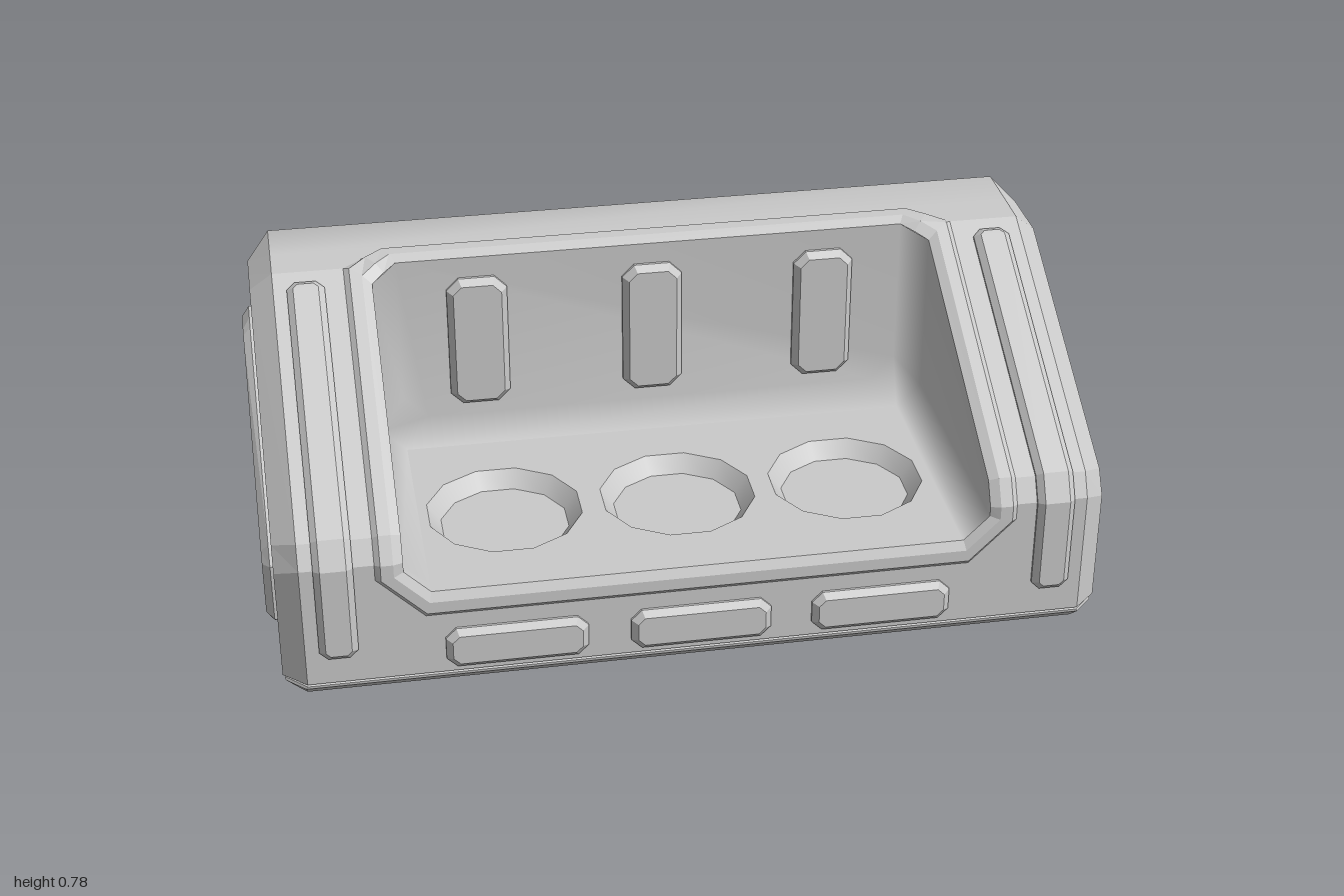
import * as THREE from 'three';
import { mergeGeometries } from 'three/addons/utils/BufferGeometryUtils.js';

// Joins equal-length loops (or open rows) of points with quads; optional cap on the last loop
function loft(rings, { closed = true, cap = false, smooth = false, skip = () => false } = {}) {
  const n = rings[0].length, index = [], kept = [];
  const add = (drop, ...t) => { index.push(...t); if (!drop) kept.push(...t); };
  for (let k = 0; k < rings.length - 1; k++) {
    for (let i = 0; i < (closed ? n : n - 1); i++) {
      const j = (i + 1) % n, a = k * n + i, b = k * n + j;
      add(skip(k, i), a, b, b + n, a, b + n, a + n);
    }
  }
  const last = (rings.length - 1) * n;
  if (cap) for (let i = 1; i < n - 1; i++) add(false, last, last + i, last + i + 1);
  const geo = new THREE.BufferGeometry();
  geo.setAttribute('position', new THREE.Float32BufferAttribute(rings.flat(2), 3));
  geo.setIndex(index);
  if (smooth) {
    geo.computeVertexNormals();
    geo.setIndex(kept);
    return geo;
  }
  const flat = geo.toNonIndexed();
  flat.computeVertexNormals();
  return flat;
}

// Front path as [z, y]: up the front, up the slope, back over the top
const PATH = [[0.47, 0.05], [0.47, 0.36], [0.44, 0.415], [-0.21, 0.768], [-0.31, 0.77]];
const LEN = [0];
for (let i = 1; i < PATH.length; i++) {
  LEN.push(LEN[i - 1] + Math.hypot(PATH[i][0] - PATH[i - 1][0], PATH[i][1] - PATH[i - 1][1]));
}
const [, B1, B2, B3, END] = LEN;
const BACK = -0.217; // cavity back wall

function segNormal(i) {
  const l = LEN[i + 1] - LEN[i];
  return [(PATH[i + 1][1] - PATH[i][1]) / l, -(PATH[i + 1][0] - PATH[i][0]) / l];
}

// Point at distance s along the front path, raised by h
function wrap(x, s, h = 0) {
  let i = 0;
  while (i < PATH.length - 2 && s > LEN[i + 1] + 1e-6) i++;
  const t = (s - LEN[i]) / (LEN[i + 1] - LEN[i]);
  let [nz, ny] = segNormal(i);
  if (t > 0.9999 && i < PATH.length - 2) {
    const m = segNormal(i + 1), l = Math.hypot(nz + m[0], ny + m[1]);
    nz = (nz + m[0]) / l;
    ny = (ny + m[1]) / l;
  }
  const z = PATH[i][0] + t * (PATH[i + 1][0] - PATH[i][0]);
  const y = PATH[i][1] + t * (PATH[i + 1][1] - PATH[i][1]);
  return [x, y + ny * h, z + nz * h];
}

function sAtZ(z) {
  const i = z > PATH[3][0] ? 2 : 3;
  return LEN[i] + (LEN[i + 1] - LEN[i]) * (z - PATH[i][0]) / (PATH[i + 1][0] - PATH[i][0]);
}

// Mirrors right-hand [x, s] points into a full loop
const mirrorLoop = half => [...half, ...half.map(([x, s]) => [-x, s]).reverse()];

// Raised plate with chamfered corners and bevelled edge, laid on a mapped surface
function plate(map, cx, hw, s0, s1, c, h, bends = []) {
  const rows = d => [[hw - c - d * 0.4, s0 + d], [hw - d, s0 + c + d * 0.4],
    ...bends.map(s => [hw - d, s]), [hw - d, s1 - c - d * 0.4], [hw - c - d * 0.4, s1 - d]];
  const ring = (d, k) => mirrorLoop(rows(d)).map(([x, s]) => map(cx + x, s, k));
  const face = rows(0.015).map(([x, s]) => [map(cx - x, s, h), map(cx + x, s, h)]);
  return mergeGeometries([
    loft([ring(0, 0), ring(0, h * 0.3), ring(0.015, h)]),
    loft(face, { closed: false }),
  ]);
}

export function createModel() {
  const group = new THREE.Group();
  const grey = new THREE.MeshStandardMaterial({ color: 0xcacaca, side: THREE.DoubleSide });
  grey.name = 'light grey shell';
  const add = (name, geo) => {
    const mesh = new THREE.Mesh(geo, grey);
    mesh.name = name;
    group.add(mesh);
    return mesh;
  };

  // Front shell around the opening, and the raised rim
  const edge = [[0.64, 0], [0.92, 0], [0.92, 0.27], [0.92, B1], [0.92, B2],
    [0.92, B3], [0.92, END], [0.66, END]];
  const topOut = sAtZ(-0.29), topIn = sAtZ(BACK), cornerIn = sAtZ(-0.165);
  const outer = [[0.64, 0.16], [0.695, 0.215], [0.75, 0.27], [0.75, B1], [0.75, B2],
    [0.75, B3], [0.705, (B3 + topOut) / 2], [0.66, topOut]];
  const inner = [[0.625, 0.225], [0.655, 0.255], [0.685, 0.285], [0.685, B1], [0.685, B2],
    [0.685, cornerIn], [0.655, (cornerIn + topIn) / 2], [0.625, topIn]];
  const rimRing = (t, h) => mirrorLoop(outer.map(([x, s], i) =>
    [x + (inner[i][0] - x) * t, s + (inner[i][1] - s) * t])).map(([x, s]) => wrap(x, s, h));
  add('frontShell', loft([mirrorLoop(edge).map(([x, s]) => wrap(x, s)), rimRing(0, 0)]));
  add('openingRim', loft([rimRing(0, 0), rimRing(0.2, 0.012), rimRing(0.65, 0.012), rimRing(1, 0)]));

  // Back panel rolling softly over into the top
  const backRows = [[-0.49, 0.05], [-0.49, 0.72], [-0.44, 0.772], PATH[4]];
  add('backPanel', loft(backRows.map(([z, y]) => [[0.92, y, z], [-0.92, y, z]]),
    { closed: false, smooth: true }));

  // Bevelled side walls with raised panels
  const wallOut = [...PATH, [-0.44, 0.772], [-0.49, 0.72], [-0.49, 0.05]];
  const wallIn = [[0.42, 0.05], [0.42, 0.33], [0.385, 0.385], [-0.23, 0.72],
    [-0.31, 0.72], [-0.385, 0.72], [-0.44, 0.665], [-0.44, 0.05]];
  const panelOut = [[0.31, 0.13], [0.33, 0.145], [0.33, 0.29], [0.3, 0.33], [-0.235, 0.617],
    [-0.27, 0.625], [-0.33, 0.625], [-0.345, 0.605], [-0.345, 0.15], [-0.325, 0.13]];
  const panelIn = [[0.3, 0.148], [0.305, 0.152], [0.305, 0.285], [0.285, 0.31], [-0.23, 0.597],
    [-0.25, 0.603], [-0.32, 0.603], [-0.325, 0.598], [-0.325, 0.153], [-0.32, 0.148]];
  for (const side of [1, -1]) {
    const ring = (pts, x) => {
      const r = pts.map(([z, y]) => [side * x, y, z]);
      return side > 0 ? r.reverse() : r;
    };
    const name = side > 0 ? 'left' : 'right';
    add(name + 'Wall', loft([ring(wallOut, 0.92), ring(wallIn, 0.975)], { cap: true }));
    add(name + 'SidePanel', loft([ring(panelOut, 0.975), ring(panelOut, 0.982), ring(panelIn, 1)], { cap: true }));
    // Long strip bent up the front and slope
    add(name + 'FrontStrip', plate(wrap, side * 0.843, 0.045, 0.07, sAtZ(-0.18), 0.02, 0.02, [B1, B2]));
  }

  // Base with a thin groove and tapered foot
  const baseRing = ([y, d, c]) => {
    const x = 0.975 - d, f = 0.47 - d, b = -0.49 + d;
    return [[x - c, f], [c - x, f], [-x, f - c], [-x, b + c],
      [c - x, b], [x - c, b], [x, b + c], [x, f - c]].map(([px, pz]) => [px, y, pz]);
  };
  add('base', loft([[0.05, 0, 0.055], [0.046, 0.012, 0.05], [0.041, 0.005, 0.05],
    [0.034, 0.006, 0.045], [0, 0.043, 0.012]].map(baseRing), { cap: true }));

  // Cavity walls with soft corners; the floor is a separate pierced sheet
  const floorY = 0.275, r = 0.06;
  const section = ([z, top, d]) => {
    const x = 0.685 - d, y = floorY + d;
    return [[-x, top], [-x, y + r], [r - x, y], [x - r, y], [x, y + r], [x, top]]
      .map(([px, py]) => [px, py, z]);
  };
  const slopeTop = wrap(0, cornerIn)[1], backTop = wrap(0, topIn)[1];
  add('cavityWalls', loft([[0.47, 0.36, 0], [0.44, 0.415, 0], [-0.165, slopeTop, 0],
    [BACK, backTop, r]].map(section),
  { closed: false, cap: true, smooth: true, skip: (k, i) => k < 2 && i === 2 }));

  const floor = new THREE.Shape([[-0.625, -0.47], [0.625, -0.47], [0.625, 0.165], [-0.625, 0.165]]
    .map(p => new THREE.Vector2(...p)));
  const cupX = [-0.42, 0, 0.415], cupZ = 0.148;
  for (const cx of cupX) {
    const pts = [];
    for (let i = 0; i < 12; i++) {
      const a = (i + 0.5) * Math.PI / 6;
      pts.push(new THREE.Vector2(cx + 0.188 * Math.cos(a), -cupZ + 0.188 * Math.sin(a)));
    }
    floor.holes.push(new THREE.Path(pts));
    // Round twelve-sided recess
    add('recessWall', new THREE.CylinderGeometry(0.188, 0.155, 0.04, 12, 1, true, Math.PI / 12))
      .position.set(cx, floorY - 0.02, cupZ);
    add('recessFloor', new THREE.CircleGeometry(0.155, 12, Math.PI / 12).rotateX(-Math.PI / 2))
      .position.set(cx, floorY - 0.04, cupZ);
  }
  add('cavityFloor', new THREE.ShapeGeometry(floor).rotateX(-Math.PI / 2)).position.y = floorY;

  // Raised plates on the cavity back wall and the lower front
  const onBackWall = (x, y, h) => [x, y, BACK + h];
  for (const cx of [-0.432, 0, 0.43]) {
    add('backWallPlate', plate(onBackWall, cx, 0.074, 0.37, 0.715, 0.03, 0.025));
    add('frontPlate', plate(wrap, cx, 0.166, 0.015, 0.12, 0.025, 0.02));
  }
  return group;
}
